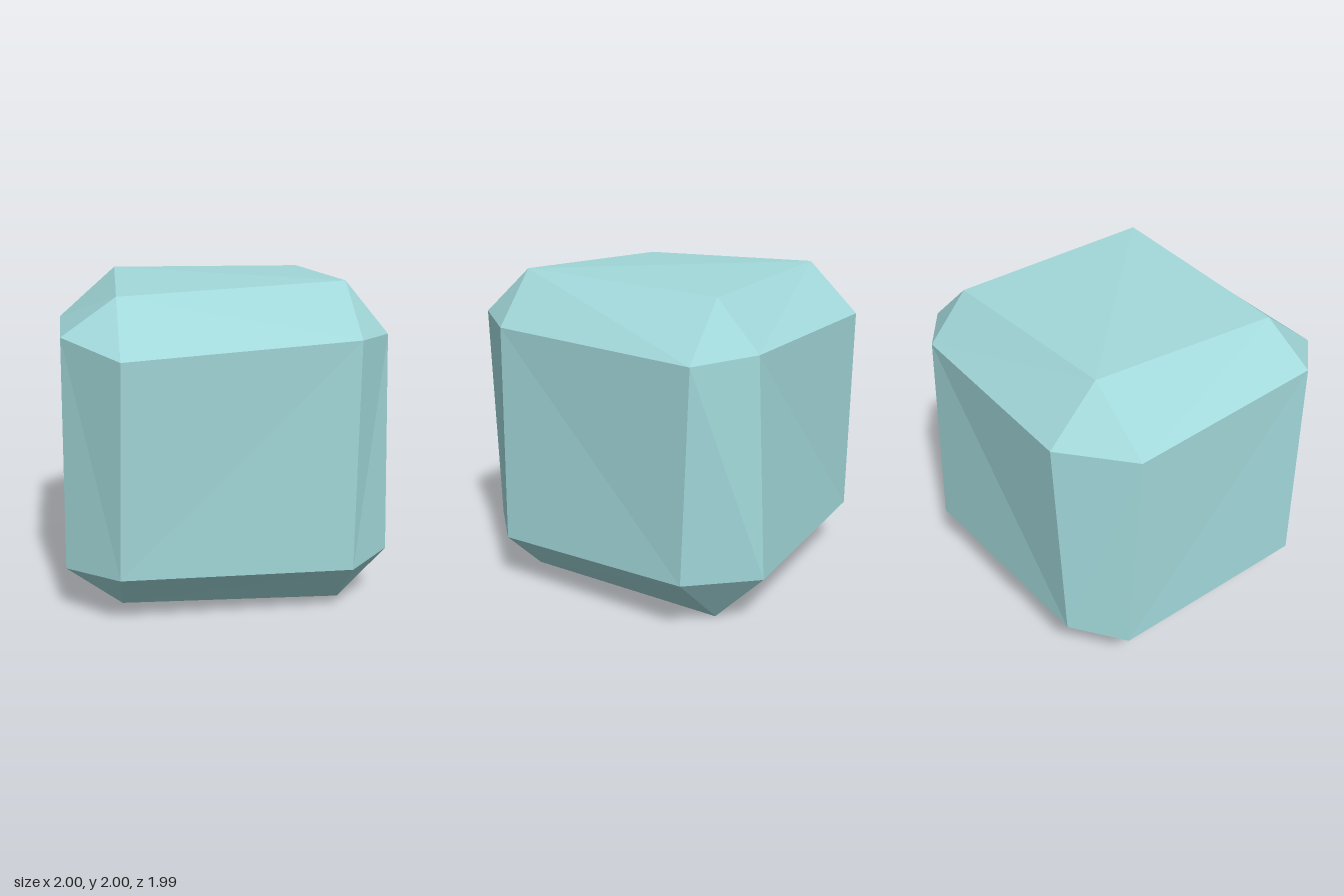
import * as THREE from 'three';

// Each corner of the block is cut into three points: one on its x face, one on
// its y face and one on its z face. Key: signs of the corner in x, y, z.
const corners = {
  '+++': [[0.925, 1.685, 0.655], [0.66, 2.0, 0.645], [0.68, 1.705, 0.975]],
  '-++': [[-0.98, 1.705, 0.64], [-0.66, 1.925, 0.61], [-0.66, 1.62, 0.995]],
  '++-': [[1.0, 1.66, -0.7], [0.665, 1.965, -0.67], [0.66, 1.68, -0.93]],
  '-+-': [[-1.0, 1.645, -0.62], [-0.62, 1.975, -0.635], [-0.64, 1.665, -0.955]],
  '+-+': [[0.97, 0.335, 0.655], [0.67, 0.03, 0.655], [0.68, 0.33, 0.95]],
  '--+': [[-1.0, 0.31, 0.64], [-0.67, 0.065, 0.645], [-0.69, 0.34, 0.945]],
  '+--': [[0.995, 0.37, -0.64], [0.62, 0.0, -0.66], [0.66, 0.36, -0.995]],
  '---': [[-1.0, 0.32, -0.7], [-0.66, 0.09, -0.66], [-0.69, 0.325, -0.93]],
};
const signs = ['+', '-'];

// Point of a corner given as axis -> sign, lying on the face of the given axis
function point(corner, axis) {
  return new THREE.Vector3(...corners[corner[0] + corner[1] + corner[2]][axis]);
}

// Flat-shaded geometry from convex polygons, each turned to face outwards
function shell(polygons) {
  const center = new THREE.Vector3(0, 1, 0);
  const points = [];
  for (const p of polygons) {
    for (let i = 1; i < p.length - 1; i++) {
      const tri = new THREE.Triangle(p[0], p[i], p[i + 1]);
      const outward = tri.getMidpoint(new THREE.Vector3()).sub(center);
      const facesOut = tri.getNormal(new THREE.Vector3()).dot(outward) > 0;
      points.push(p[0], ...(facesOut ? [p[i], p[i + 1]] : [p[i + 1], p[i]]));
    }
  }
  const geometry = new THREE.BufferGeometry().setFromPoints(points);
  geometry.computeVertexNormals();
  return geometry;
}

export function createModel() {
  const group = new THREE.Group();
  group.name = 'chippedBlock';
  const paleTeal = new THREE.MeshStandardMaterial({ color: 0xa2d8da, flatShading: true });
  paleTeal.name = 'paleTeal';

  const faces = [], bevels = [], tips = [];
  for (let a = 0; a < 3; a++) {
    const b = (a + 1) % 3, c = (a + 2) % 3;
    const at = (sa, sb, sc) => ({ [a]: sa, [b]: sb, [c]: sc });
    for (const s of signs) {
      // Large face across axis a
      faces.push([['+', '+'], ['-', '+'], ['-', '-'], ['+', '-']]
        .map(([u, v]) => point(at(s, u, v), a)));
      // Bevels running along axis a, between the faces of axes b and c
      for (const t of signs) {
        const start = at('-', s, t), end = at('+', s, t);
        bevels.push([point(start, b), point(end, b), point(end, c), point(start, c)]);
      }
    }
  }
  // Triangular corner cuts
  for (const key in corners) tips.push([0, 1, 2].map((axis) => point(key, axis)));

  for (const [name, polygons] of Object.entries({ faces, bevels, cornerCuts: tips })) {
    const mesh = new THREE.Mesh(shell(polygons), paleTeal);
    mesh.name = name;
    group.add(mesh);
  }
  return group;
}
